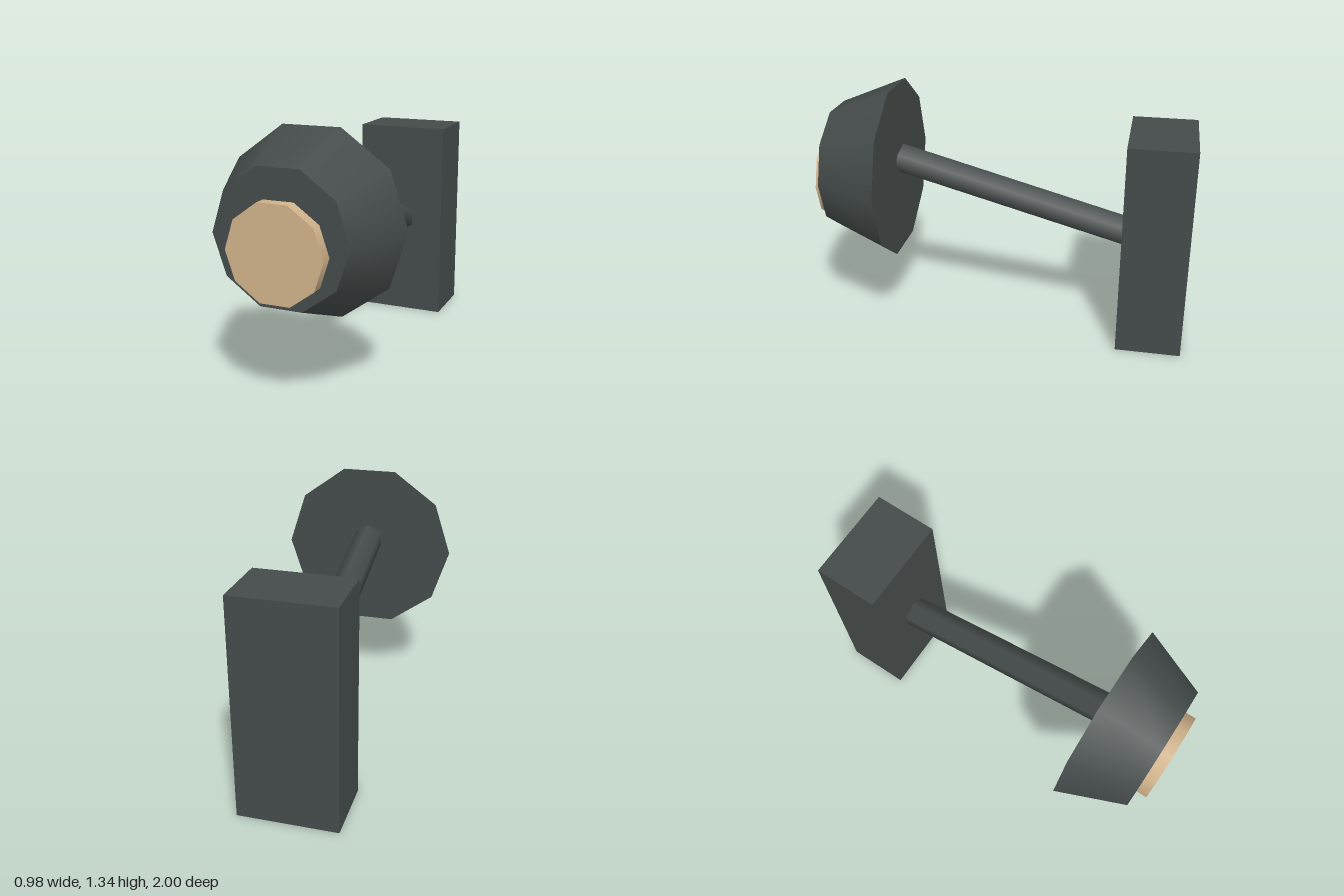
import * as THREE from 'three';

export function createModel() {
  const model = new THREE.Group();
  const dark = new THREE.MeshStandardMaterial({ color: 0x444b4a });
  dark.name = 'dark grey';
  const tan = new THREE.MeshStandardMaterial({ color: 0xd2b48c });
  tan.name = 'warm tan';

  const add = (name, geometry, material, y, z) => {
    const mesh = new THREE.Mesh(geometry, material);
    mesh.name = name;
    mesh.position.set(0, y, z);
    model.add(mesh);
    return mesh;
  };

  // Ten-sided drum along z, with corners on the left and right
  const drum = (rFront, rBack, depth) =>
    new THREE.CylinderGeometry(rFront, rBack, depth, 10, 1, false, Math.PI / 2).rotateX(Math.PI / 2);

  // Wall block at the back
  add('wallMount', new THREE.BoxGeometry(0.52, 1.16, 0.348), dark, 0.58, -0.826);

  // Six-sided arm, rising from the block to the back of the lamp head
  const from = new THREE.Vector3(0, 0.589, -0.68);
  const to = new THREE.Vector3(0, 0.928, 0.597);
  const mid = from.clone().lerp(to, 0.5);
  const arm = add('arm', new THREE.CylinderGeometry(0.085, 0.085, from.distanceTo(to), 6), dark, mid.y, mid.z);
  arm.rotation.x = Math.atan2(to.z - from.z, to.y - from.y);

  // Tapered head and the lens set slightly low in its face
  add('lampHead', drum(0.347, 0.491, 0.345), dark, 0.87, 0.7675);
  add('lens', drum(0.247, 0.247, 0.08), tan, 0.815, 0.96);

  return model;
}
